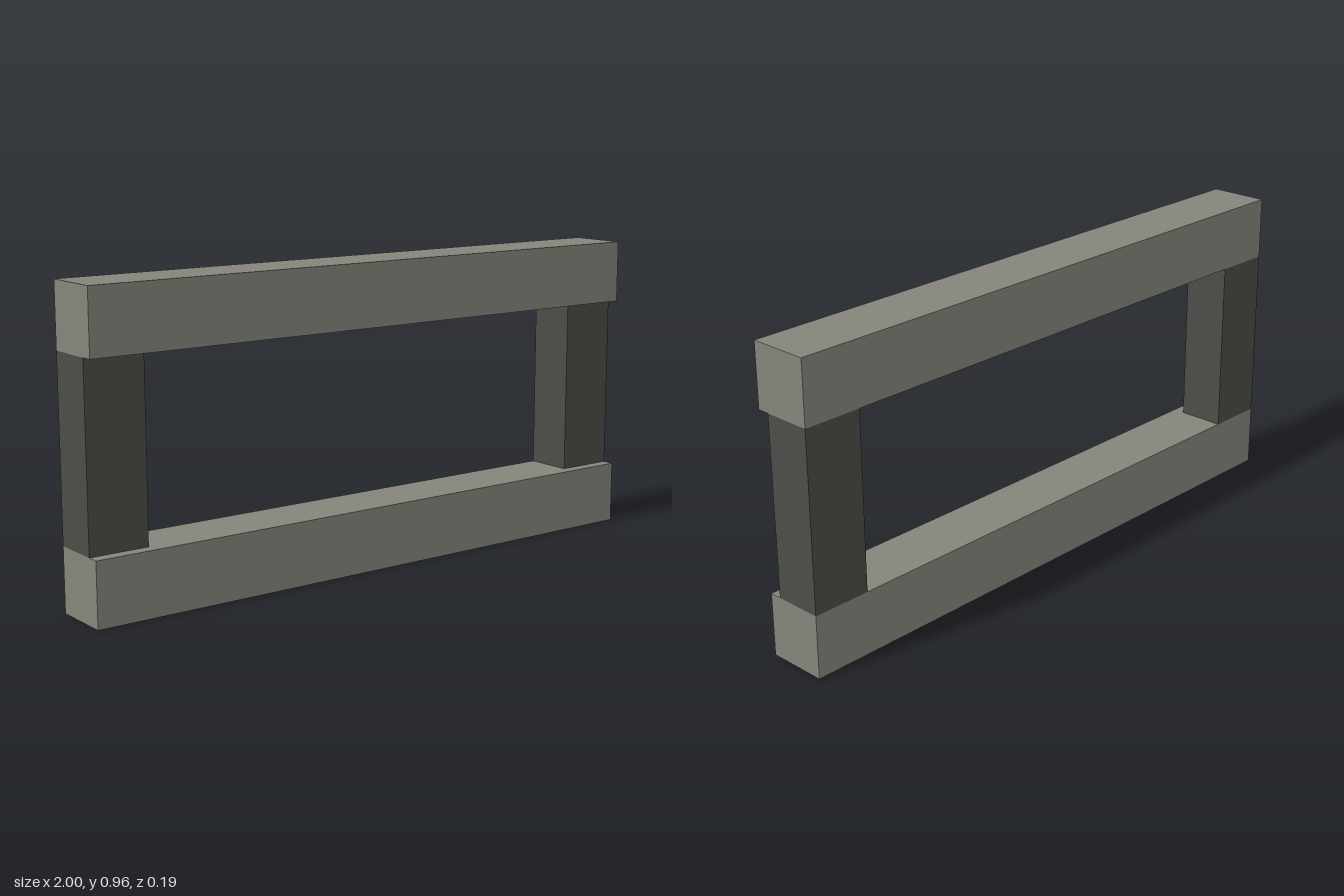
import * as THREE from 'three';

const railMaterial = new THREE.MeshStandardMaterial({ color: 0x84857a });
const postMaterial = new THREE.MeshStandardMaterial({ color: 0x4c4c47 });

const LENGTH = 2, RAIL_HEIGHT = 0.2, RAIL_DEPTH = 0.192;
const HEIGHT = 0.962, POST_WIDTH = 0.19, POST_DEPTH = 0.154;

function box(name, material, size, position) {
  const mesh = new THREE.Mesh(new THREE.BoxGeometry(...size), material);
  mesh.name = name;
  mesh.position.set(...position);
  return mesh;
}

export function createModel() {
  const model = new THREE.Group();
  model.name = 'railFrame';

  // Full-length horizontal beams
  const railSize = [LENGTH, RAIL_HEIGHT, RAIL_DEPTH];
  model.add(box('bottomRail', railMaterial, railSize, [0, RAIL_HEIGHT / 2, 0]));
  model.add(box('topRail', railMaterial, railSize, [0, HEIGHT - RAIL_HEIGHT / 2, 0]));

  // End posts between the beams, flush with the ends and the back
  const postSize = [POST_WIDTH, HEIGHT - 2 * RAIL_HEIGHT, POST_DEPTH];
  const postZ = (POST_DEPTH - RAIL_DEPTH) / 2;
  for (const [name, side] of [['leftPost', 1], ['rightPost', -1]]) {
    const x = side * (LENGTH - POST_WIDTH) / 2;
    model.add(box(name, postMaterial, postSize, [x, HEIGHT / 2, postZ]));
  }
  return model;
}
